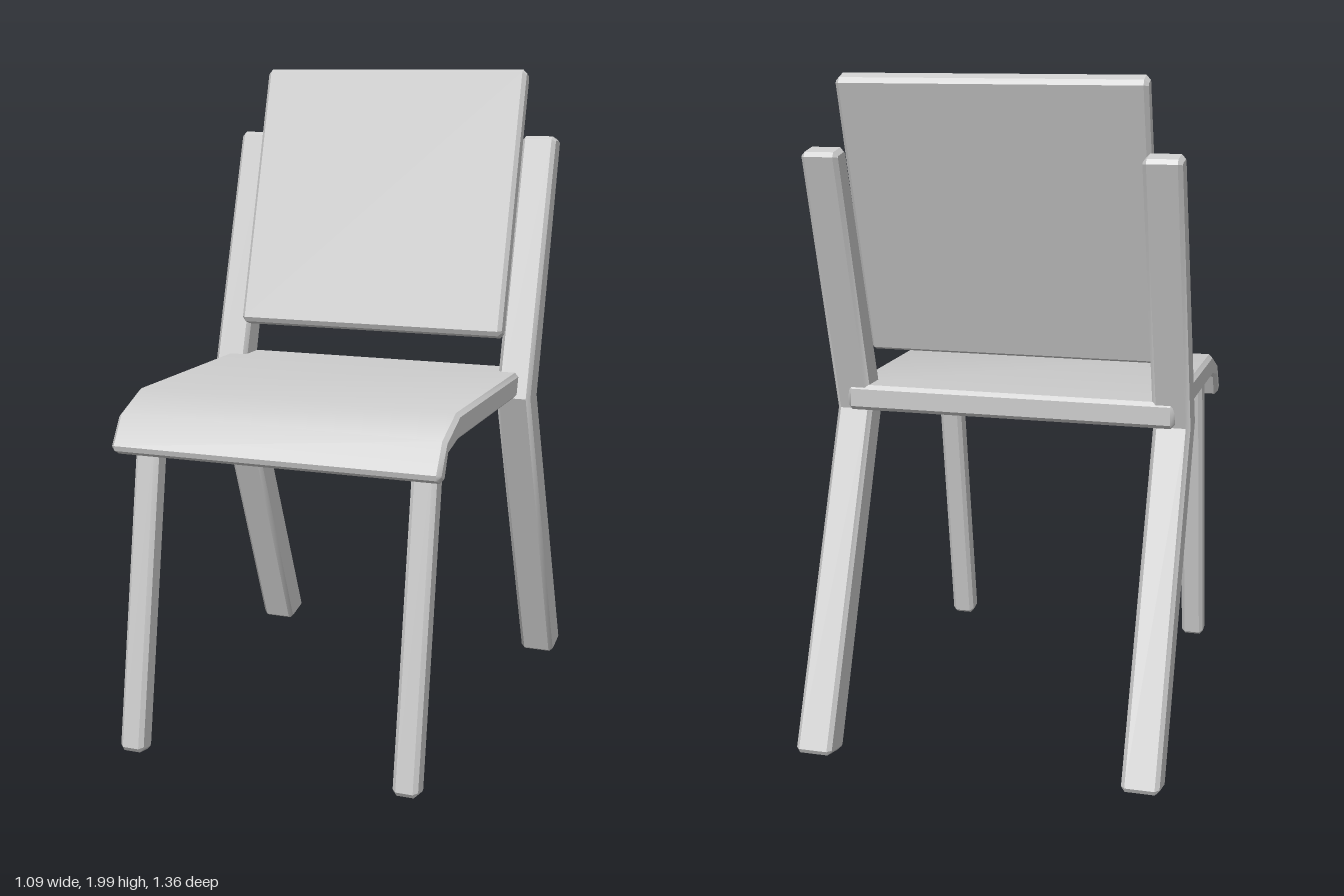
import * as THREE from 'three';
import { toCreasedNormals } from 'three/addons/utils/BufferGeometryUtils.js';

const BEVEL = 0.012;
const material = new THREE.MeshStandardMaterial({ color: 0xcccccc });

// Chamfer the sharp corners of a side profile given as [z, y] pairs.
function chamfer(profile) {
  const pts = profile.map(([z, y]) => new THREE.Vector2(z, y));
  return pts.flatMap((p, i) => {
    const toPrev = pts.at(i - 1).clone().sub(p).normalize();
    const toNext = pts[(i + 1) % pts.length].clone().sub(p).normalize();
    if (toPrev.dot(toNext) < -0.5) return [p];
    return [p.clone().addScaledVector(toPrev, BEVEL), p.clone().addScaledVector(toNext, BEVEL)];
  });
}

// Bevelled board: a side profile extruded along x, centred on the given x.
function board(name, profile, width, x = 0, crease = 0.5) {
  const geometry = new THREE.ExtrudeGeometry(new THREE.Shape(chamfer(profile)), {
    depth: width - 2 * BEVEL,
    bevelThickness: BEVEL,
    bevelSize: BEVEL,
    bevelOffset: -BEVEL,
    bevelSegments: 1,
  });
  geometry.translate(0, 0, BEVEL - width / 2);
  geometry.rotateY(-Math.PI / 2);
  const mesh = new THREE.Mesh(toCreasedNormals(geometry, crease), material);
  mesh.name = name;
  mesh.position.x = x;
  return mesh;
}

export function createModel() {
  const chair = new THREE.Group();
  chair.name = 'chair';

  // Seat with a front lip that curls down, softly shaded over the curve
  chair.add(board('seat', [
    [-0.3, 0.985], [0.45, 0.985], [0.54, 0.965], [0.575, 0.89],
    [0.625, 0.915], [0.565, 1.01], [0.44, 1.063], [-0.3, 1.063],
  ], 1.005, 0, 0.75));

  // Leaning backrest panel
  chair.add(board('backrest', [
    [-0.18, 1.18], [-0.235, 1.16], [-0.485, 1.98], [-0.43, 2.0],
  ], 0.89));

  for (const [side, s] of [['left', 1], ['right', -1]]) {
    // Straight front leg, splayed forward
    chair.add(board(side + 'FrontLeg', [
      [0.615, 0], [0.685, 0.012], [0.52, 1.0], [0.45, 1.0],
    ], 0.075, s * 0.428));

    // Rear leg bent at seat height, continuing up as the backrest post
    chair.add(board(side + 'RearLegAndPost', [
      [-0.685, 0.028], [-0.577, 0.004], [-0.17, 0.985],
      [-0.43, 1.79], [-0.508, 1.775], [-0.275, 0.985],
    ], 0.11, s * 0.49));
  }
  return chair;
}
